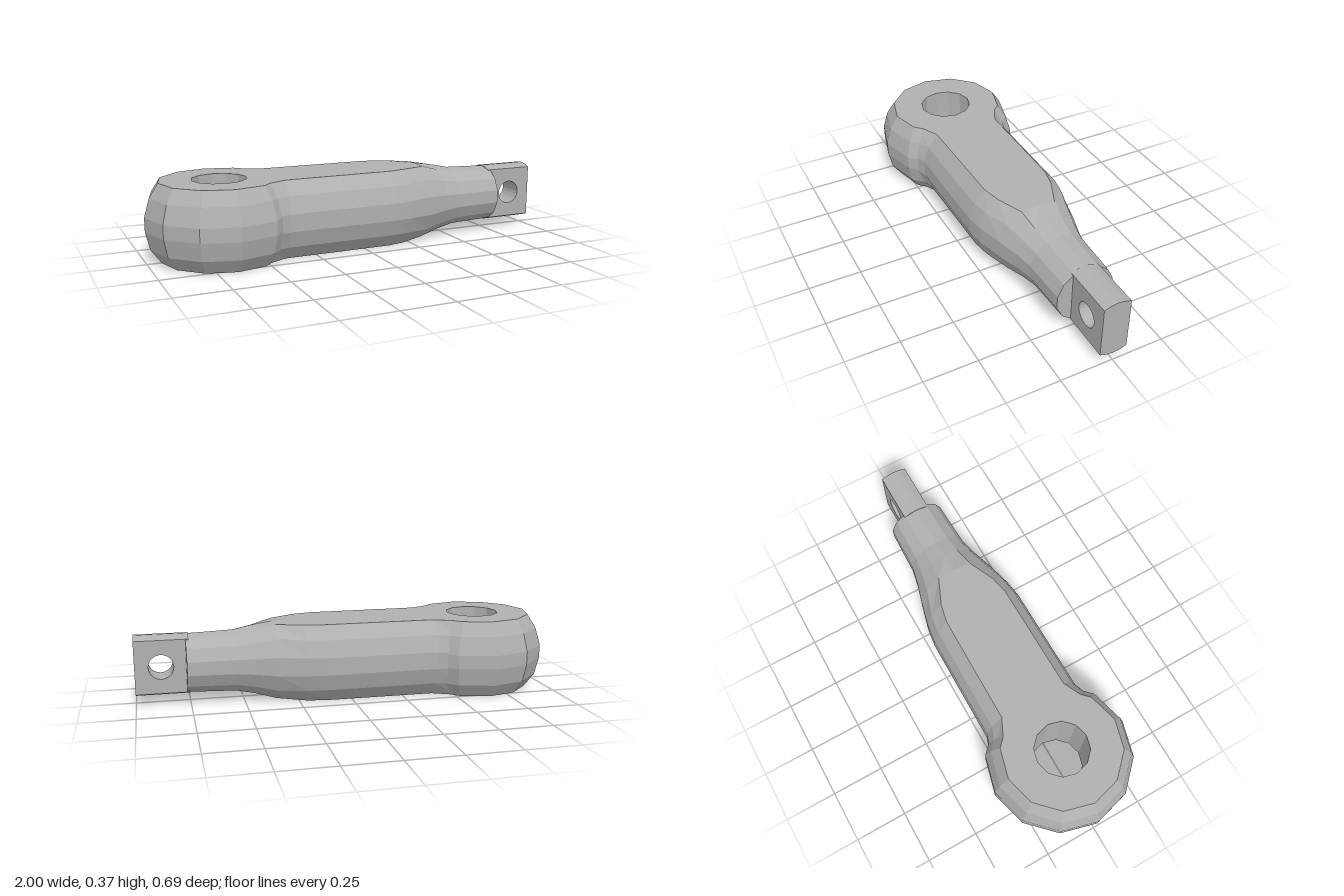
import * as THREE from 'three';

const MID = 0.1825; // half height, also the height of the long axis

// Rod lofted along x: round sections cut flat at the top and bottom.
function rodGeometry(stations) {
  const pos = [], index = [], n = 14;
  for (const [x, r] of stations) {
    const a = Math.min(Math.asin(Math.min(1, MID / r)), 1.13);
    const angles = [];
    for (const turn of [0, Math.PI]) {
      for (let k = 0; k < 5; k++) angles.push(turn - a + (2 * a * k) / 5);
      angles.push(turn + a, turn + Math.PI / 2);
    }
    for (const t of angles) {
      const y = THREE.MathUtils.clamp(r * Math.sin(t), -MID, MID);
      pos.push(x, MID + y, r * Math.cos(t));
    }
  }
  const last = stations.length - 1;
  for (let i = 0; i < last; i++) {
    for (let j = 0; j < n; j++) {
      const a = i * n + j, b = i * n + ((j + 1) % n);
      index.push(a, a + n, b, b, a + n, b + n);
    }
  }
  // shoulder face at the narrow end
  const center = pos.length / 3;
  pos.push(stations[last][0], MID, 0);
  for (let j = 0; j < n; j++) index.push(center, last * n + ((j + 1) % n), last * n + j);
  const g = new THREE.BufferGeometry();
  g.setAttribute('position', new THREE.Float32BufferAttribute(pos, 3));
  g.setIndex(index);
  g.computeVertexNormals();
  return g;
}

// Flat tongue with a cross hole; its top and bottom are bowed to the rod's curve.
function tongueGeometry() {
  const half = 0.065, r = 0.142, h = 0.126;
  const shape = new THREE.Shape();
  shape.moveTo(0.75, -h).lineTo(1, -h).lineTo(1, h).lineTo(0.75, h).closePath();
  const hole = new THREE.Path();
  hole.absarc(0.88, 0, 0.058, 0, Math.PI * 2, true);
  shape.holes.push(hole);
  const g = new THREE.ExtrudeGeometry(shape, { depth: half * 2, steps: 4, bevelEnabled: false, curveSegments: 10 });
  g.translate(0, 0, -half);
  const p = g.attributes.position;
  for (let i = 0; i < p.count; i++) {
    const y = p.getY(i), z = p.getZ(i);
    if (Math.abs(y) > 0.1) p.setY(i, Math.sign(y) * Math.sqrt(r * r - z * z));
  }
  g.translate(0, MID, 0);
  g.computeVertexNormals();
  return g;
}

export function createModel() {
  const group = new THREE.Group();
  const steel = new THREE.MeshStandardMaterial({ color: 0xb0b0b0, flatShading: true });
  steel.name = 'grey steel';
  const add = (name, geometry) => {
    const mesh = new THREE.Mesh(geometry, steel);
    mesh.name = name;
    group.add(mesh);
    return mesh;
  };

  // ball eye: truncated sphere with a vertical bore
  const profile = [
    [0.127, 0], [0.277, 0], [0.324, 0.065], [0.344, 0.15], [0.344, 0.215],
    [0.319, 0.3], [0.277, 0.365], [0.127, 0.365], [0.127, 0],
  ].map(([r, y]) => new THREE.Vector2(r, y));
  add('ballEye', new THREE.LatheGeometry(profile, 12)).position.x = -0.657;

  // shank, from the flare inside the ball to the shoulder
  add('shank', rodGeometry([
    [-0.5, 0.28], [-0.4, 0.245], [0.13, 0.242], [0.22, 0.23],
    [0.35, 0.197], [0.45, 0.167], [0.54, 0.148], [0.765, 0.14],
  ]));

  add('tongue', tongueGeometry());
  return group;
}
